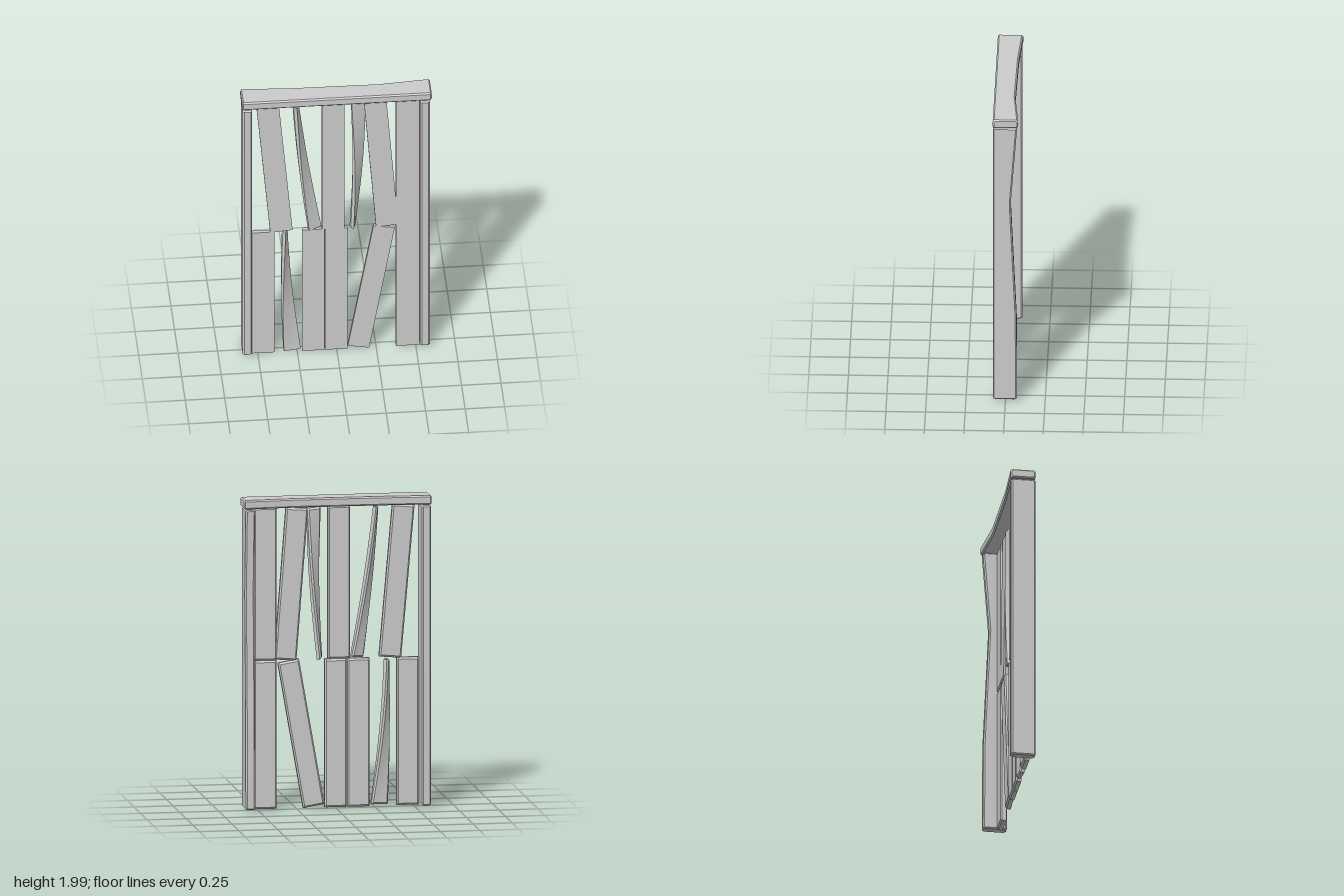
import * as THREE from 'three';
import { toCreasedNormals } from 'three/addons/utils/BufferGeometryUtils.js';

const material = new THREE.MeshStandardMaterial({ color: 0xcccccc });

// Skin closed rings of [x, y, z] points, listed counter-clockwise about the loft direction
function loft(rings) {
  const pos = [];
  const tri = (a, b, c) => pos.push(...a, ...b, ...c);
  const n = rings[0].length;
  for (let i = 0; i < rings.length - 1; i++) {
    for (let j = 0; j < n; j++) {
      const k = (j + 1) % n;
      const a = rings[i][j], b = rings[i][k], c = rings[i + 1][k], d = rings[i + 1][j];
      tri(a, b, c);
      tri(a, c, d);
    }
  }
  const last = rings[rings.length - 1];
  for (let j = 1; j < n - 1; j++) {
    tri(rings[0][0], rings[0][j + 1], rings[0][j]);
    tri(last[0], last[j], last[j + 1]);
  }
  const g = new THREE.BufferGeometry();
  g.setAttribute('position', new THREE.Float32BufferAttribute(pos, 3));
  return toCreasedNormals(g, 0.4);
}

// Chamfered rectangle, counter-clockwise; inset shrinks it for bevelled ends
function chamferedRect(u0, u1, v0, v1, c, inset = 0) {
  u0 += inset; u1 -= inset; v0 += inset; v1 -= inset;
  return [
    [u0 + c, v0], [u1 - c, v0], [u1, v0 + c], [u1, v1 - c],
    [u1 - c, v1], [u0 + c, v1], [u0, v1 - c], [u0, v0 + c],
  ];
}

function addMesh(parent, name, geometry) {
  const mesh = new THREE.Mesh(geometry, material);
  mesh.name = name;
  parent.add(mesh);
  return mesh;
}

// Upright post; stations are [y, back z, inset]
function post(x0, x1, stations) {
  return loft(stations.map(([y, back, inset]) =>
    chamferedRect(back, 0.08, x0, x1, 0.009, inset).map(([z, x]) => [x, y, z])));
}

// Top beam; stations are [x, back z, inset]
function beam(stations) {
  return loft(stations.map(([x, back, inset]) =>
    chamferedRect(1.942, 2, back, 0.08, 0.009, inset).map(([y, z]) => [x, y, z])));
}

// Board from bottom centre to top centre, chamfered at the back;
// width and twist change along the length
function board({ from, to, width, twist = [0, 0], bow = 0, thick = 0.036 }) {
  const dx = to[0] - from[0], dy = to[1] - from[1];
  const length = Math.hypot(dx, dy);
  const twisted = twist[0] !== twist[1];
  const steps = twisted ? 10 : 1;
  const ts = [0];
  const e = 0.012 / length;
  for (let i = 0; i <= steps; i++) ts.push(e + (1 - 2 * e) * i / steps);
  ts.push(1);
  const rings = ts.map((t, i) => {
    const end = i === 0 || i === ts.length - 1;
    const w = THREE.MathUtils.lerp(width[0], width[1], t) / 2;
    const a = THREE.MathUtils.degToRad(THREE.MathUtils.lerp(twist[0], twist[1], t));
    const c = 0.01, h = thick / 2;
    const back = end ? -h + c : -h;
    const shift = bow * Math.sin(Math.PI * t);
    // [z, x] section
    const section = [
      [h, -w], [h, w], [back + c, w], [back, w - c], [back, -w + c], [back + c, -w],
    ];
    return section.map(([z, x]) => [
      x * Math.cos(a) + z * Math.sin(a) + shift,
      t * length,
      z * Math.cos(a) - x * Math.sin(a),
    ]);
  });
  const g = loft(rings);
  g.rotateZ(-Math.atan2(dx, dy));
  g.translate(from[0], from[1], 0.032);
  return g;
}

export function createModel() {
  const model = new THREE.Group();

  // Frame: the left post and the beam are worn hollow at the back
  const frame = new THREE.Group();
  frame.name = 'frame';
  model.add(frame);
  addMesh(frame, 'rightPost', post(-0.597, -0.538, [
    [0.018, -0.075, 0.008], [0.026, -0.075, 0], [1.928, -0.075, 0], [1.936, -0.075, 0.008],
  ]));
  addMesh(frame, 'leftPost', post(0.527, 0.588, [
    [0.018, -0.073, 0.008], [0.026, -0.073, 0], [0.6, -0.07, 0],
    [1.4, -0.033, 0], [1.928, -0.073, 0], [1.936, -0.073, 0.008],
  ]));
  addMesh(frame, 'topBeam', beam([
    [-0.6, -0.08, 0.008], [-0.592, -0.08, 0], [-0.27, -0.062, 0],
    [0.27, -0.055, 0], [0.592, -0.08, 0], [0.6, -0.08, 0.008],
  ]));

  // Boards in two rows, some straight, some leaning, some twisted
  const W = [0.142, 0.142];
  const rows = {
    upperBoards: [
      { from: [-0.35, 0.957], to: [-0.436, 1.932], width: W },
      { from: [-0.14, 0.963], to: [-0.26, 1.927], width: [0.085, 0.06], twist: [20, 75], bow: -0.01, thick: 0.03 },
      { from: [-0.023, 0.957], to: [-0.023, 1.936], width: W },
      { from: [0.1, 0.957], to: [0.137, 1.927], width: [0.055, 0.09], twist: [75, 10], bow: 0.012, thick: 0.03 },
      { from: [0.32, 0.957], to: [0.245, 1.928], width: W },
      { from: [0.449, 0.957], to: [0.449, 1.936], width: [0.148, 0.148] },
    ],
    lowerBoards: [
      { from: [-0.464, 0.01], to: [-0.464, 0.955], width: W },
      { from: [-0.282, 0.018], to: [-0.33, 0.946], width: [0.108, 0.045], twist: [5, 70], bow: -0.012, thick: 0.03 },
      { from: [-0.148, 0.008], to: [-0.148, 0.957], width: W },
      { from: [-0.003, 0.008], to: [-0.003, 0.957], width: W },
      { from: [0.138, 0.018], to: [0.3, 0.95], width: [0.137, 0.137] },
      { from: [0.449, 0.008], to: [0.449, 0.957], width: [0.148, 0.148] },
    ],
  };
  for (const [name, boards] of Object.entries(rows)) {
    const row = new THREE.Group();
    row.name = name;
    boards.forEach((b) => addMesh(row, b.twist ? 'twistedBoard' : 'board', board(b)));
    model.add(row);
  }

  // Rest on the ground
  const box = new THREE.Box3().setFromObject(model);
  model.position.y = -box.min.y;
  return model;
}
